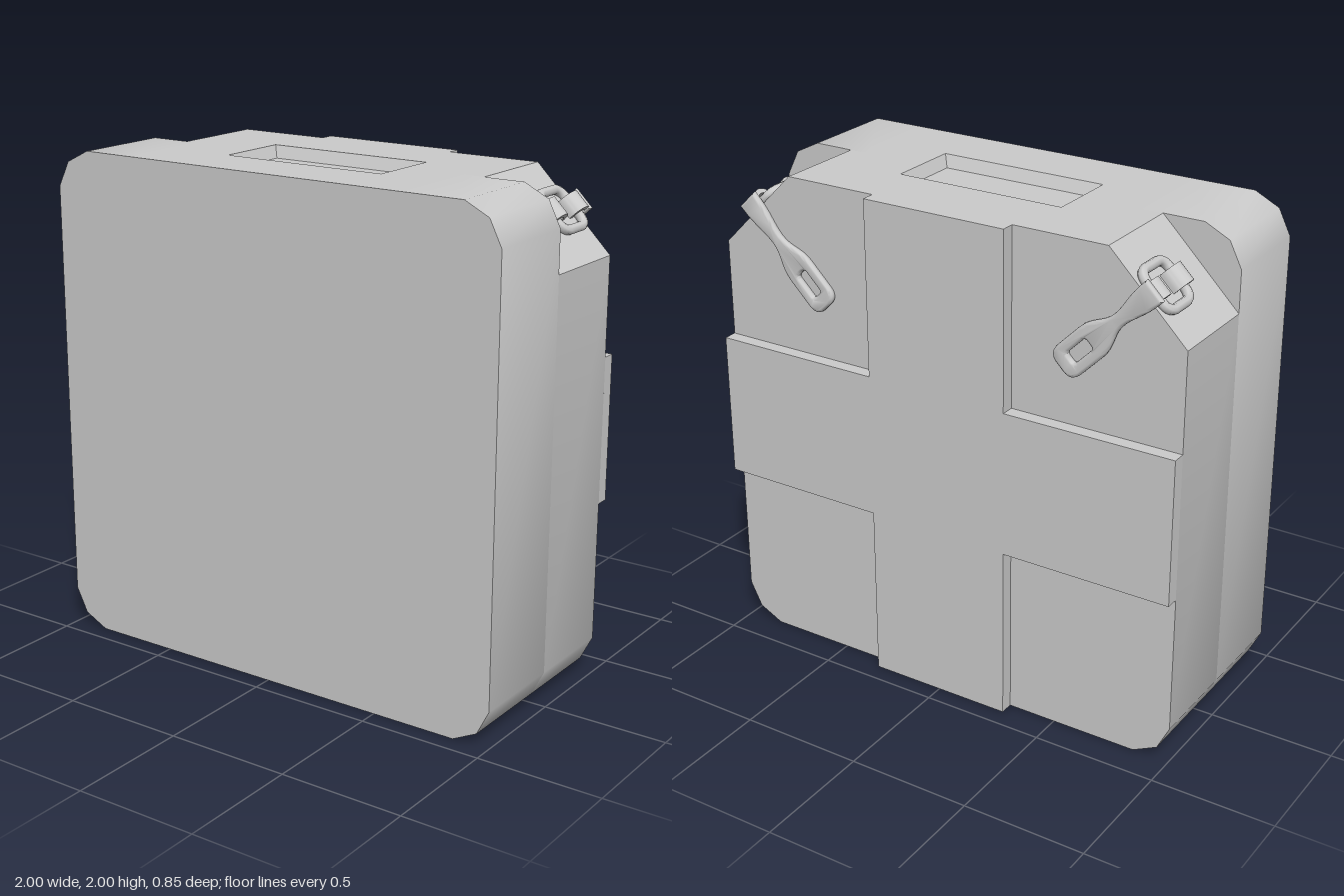
import * as THREE from 'three';
import { toCreasedNormals } from 'three/addons/utils/BufferGeometryUtils.js';

const material = new THREE.MeshStandardMaterial({ color: 0xcccccc });
const thinMaterial = new THREE.MeshStandardMaterial({ color: 0xcccccc, side: THREE.DoubleSide });

function part(name, geometry, parent, mat = material) {
  const mesh = new THREE.Mesh(geometry, mat);
  mesh.name = name;
  parent.add(mesh);
  return mesh;
}

// Left-right symmetric outline from its +x half, listed bottom to top
function mirroredShape(half) {
  const left = half.map(([x, y]) => [-x, y]).reverse();
  return new THREE.Shape([...half, ...left].map(([x, y]) => new THREE.Vector2(x, y)));
}

function slab(shape, z0, z1) {
  const g = new THREE.ExtrudeGeometry(shape, { depth: z1 - z0, bevelEnabled: false });
  g.translate(0, 0, z0);
  return toCreasedNormals(g, 0.7);
}

function roundedRect(hx, hy, r, PathType = THREE.Shape) {
  const s = new PathType();
  s.moveTo(hx, -hy + r);
  s.lineTo(hx, hy - r);
  s.absarc(hx - r, hy - r, r, 0, Math.PI / 2);
  s.lineTo(-hx + r, hy);
  s.absarc(-hx + r, hy - r, r, Math.PI / 2, Math.PI);
  s.lineTo(-hx, -hy + r);
  s.absarc(-hx + r, -hy + r, r, Math.PI, Math.PI * 1.5);
  s.lineTo(hx - r, -hy);
  s.absarc(hx - r, -hy + r, r, Math.PI * 1.5, Math.PI * 2);
  return s;
}

// Recess lining: four sloping walls and a floor
function recessGeometry(hx, hz, inset, depth) {
  const ring = (dx, y) => [
    [-hx + dx, y, -hz + dx], [-hx + dx, y, hz - dx],
    [hx - dx, y, hz - dx], [hx - dx, y, -hz + dx],
  ];
  const top = ring(0, 0), low = ring(inset, -depth);
  const out = [];
  const quad = (a, b, c, d) => out.push(...a, ...b, ...c, ...a, ...c, ...d);
  for (let i = 0; i < 4; i++) {
    const j = (i + 1) % 4;
    quad(top[i], top[j], low[j], low[i]);
  }
  quad(...low);
  const g = new THREE.BufferGeometry();
  g.setAttribute('position', new THREE.Float32BufferAttribute(out, 3));
  g.computeVertexNormals();
  return g;
}

// Curved strap over a bar running along x
function strapGeometry(z, width) {
  const s = new THREE.Shape();
  s.moveTo(0.05, -0.02);
  s.lineTo(0.05, 0.01);
  s.absarc(0, 0.01, 0.05, 0, Math.PI, false);
  s.lineTo(-0.05, -0.02);
  s.lineTo(-0.03, -0.02);
  s.lineTo(-0.03, 0.01);
  s.absarc(0, 0.01, 0.03, Math.PI, 0, true);
  s.lineTo(0.03, -0.02);
  const g = new THREE.ExtrudeGeometry(s, { depth: width, bevelEnabled: false, curveSegments: 10 });
  g.translate(0, 0, -width / 2);
  g.rotateY(-Math.PI / 2);
  g.translate(0, 0, z);
  return toCreasedNormals(g, 0.7);
}

// Flat pull tag with a waisted neck and a looped end
function tagGeometry() {
  const s = new THREE.Shape();
  s.moveTo(-0.035, 0.04);
  s.bezierCurveTo(-0.035, -0.05, -0.014, -0.08, -0.014, -0.14);
  s.bezierCurveTo(-0.014, -0.2, -0.055, -0.23, -0.055, -0.29);
  s.lineTo(-0.055, -0.41);
  s.quadraticCurveTo(-0.055, -0.45, -0.02, -0.45);
  s.lineTo(0.02, -0.45);
  s.quadraticCurveTo(0.055, -0.45, 0.055, -0.41);
  s.lineTo(0.055, -0.29);
  s.bezierCurveTo(0.055, -0.23, 0.014, -0.2, 0.014, -0.14);
  s.bezierCurveTo(0.014, -0.08, 0.035, -0.05, 0.035, 0.04);
  const hole = roundedRect(0.036, 0.065, 0.025, THREE.Path).getPoints(5);
  s.holes.push(new THREE.Path(hole.map((p) => new THREE.Vector2(p.x, p.y - 0.35))));
  const g = new THREE.ExtrudeGeometry(s, {
    depth: 0.006, bevelThickness: 0.012, bevelSize: 0.012, bevelSegments: 3, curveSegments: 8,
  });
  g.translate(0, 0, -0.386);
  return toCreasedNormals(g, 0.8);
}

// Link, staple and tag; local y is the normal of the corner cut
function createLatch(side) {
  const latch = new THREE.Group();
  latch.name = side > 0 ? 'leftLatch' : 'rightLatch';
  latch.position.set(side * 0.84, 1.845, 0);
  latch.rotation.z = -side * Math.PI / 4;

  const points = roundedRect(0.085, 0.083, 0.04).getSpacedPoints(32).slice(0, -1);
  const path = new THREE.CatmullRomCurve3(
    points.map((p) => new THREE.Vector3(p.x, 0.015, p.y - 0.26)), true);
  part('link', new THREE.TubeGeometry(path, 64, 0.019, 8, true), latch);
  part('staple', strapGeometry(-0.183, 0.08), latch);
  part('hook', strapGeometry(-0.345, 0.075), latch);
  part('pullTag', tagGeometry(), latch);
  return latch;
}

export function createModel() {
  const model = new THREE.Group();
  model.name = 'case';

  // Body: front slab, back slab with cut corners, and top plate around the recess
  const bottom = [[0.85, 0], [0.95, 0.05], [1, 0.15]];
  const lidSeat = [[0.6, 2], [0.6, 1.95]];
  const frontOutline = mirroredShape([...bottom, [1, 1.85], [0.95, 1.95], [0.85, 2], ...lidSeat]);
  const backOutline = mirroredShape([...bottom, [1, 1.685], [0.685, 2], ...lidSeat]);
  part('frontBody', slab(frontOutline, 0.02, 0.425), model);
  part('backBody', slab(backOutline, -0.37, 0.02), model);

  const plate = new THREE.Shape();
  plate.moveTo(-0.6, -0.425).lineTo(0.6, -0.425).lineTo(0.6, 0.37).lineTo(-0.6, 0.37).closePath();
  const opening = new THREE.Path();
  opening.moveTo(-0.35, -0.18).lineTo(-0.35, 0.12).lineTo(0.35, 0.12).lineTo(0.35, -0.18).closePath();
  plate.holes.push(opening);
  const plateGeometry = new THREE.ExtrudeGeometry(plate, { depth: 0.05, bevelEnabled: false });
  plateGeometry.rotateX(-Math.PI / 2);
  part('topPlate', plateGeometry, model).position.y = 1.95;
  part('topRecess', recessGeometry(0.35, 0.15, 0.022, 0.048), model, thinMaterial)
    .position.set(0, 2, 0.03);

  // Raised cross on the back
  const cross = mirroredShape([
    [0.3, 0], [0.3, 0.71], [1, 0.71], [1, 1.295], [0.3, 1.295], [0.3, 2],
  ]);
  part('backCross', slab(cross, -0.425, -0.37), model);

  // Latches on both cut corners
  for (const side of [1, -1]) model.add(createLatch(side));

  return model;
}
